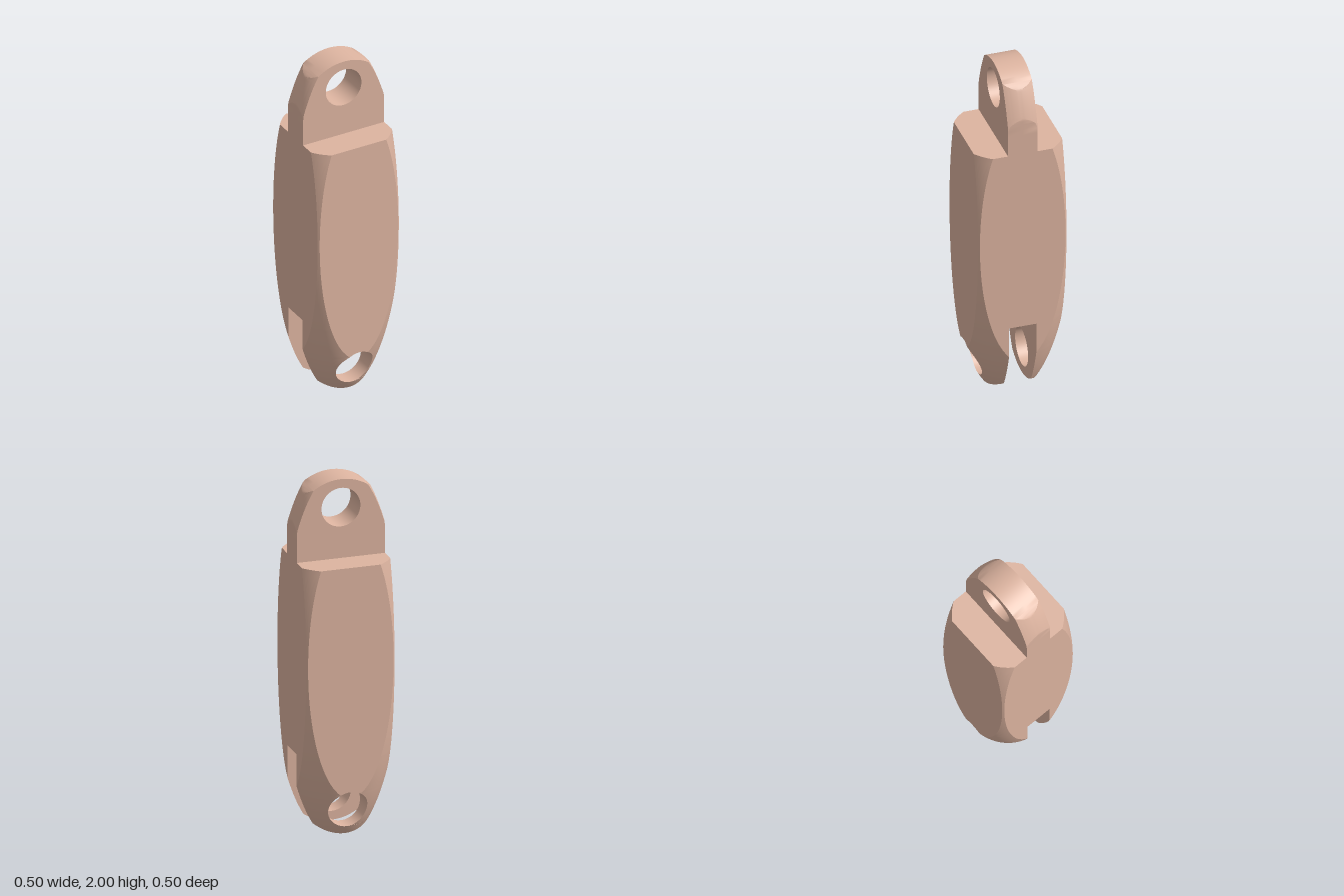
import * as THREE from 'three';
import { toCreasedNormals } from 'three/addons/utils/BufferGeometryUtils.js';

const HALF = 0.25;                 // half width of the square link
const R0 = 0.348, A = 1.1;         // ellipsoid that rounds off the square bar
const HOLE_Y = 0.16, HOLE_R = 0.11; // pin hole, measured from either end
const END_R = 0.27;                // rounding of both ends
const SLOT = 0.077, TAB = 0.083;   // half thickness of slot and tab
const SLOT_TOP = 0.455, SHOULDER = 1.55;
const FLAT = 4, ARC = 10;

const radius = (y) => R0 * Math.sqrt(1 - ((y - 1) / A) ** 2);

// One level of a quarter link (x >= 0, z >= 0): points from inner to outer edge
function section(y, zIn, zMax, hasHole) {
  const R = radius(y), u = Math.min(y, 2 - y);
  const end = u < END_R ? Math.sqrt(Math.max(0, END_R ** 2 - (END_R - u) ** 2)) : 1;
  const xb = Math.min(HALF, end, Math.sqrt(R * R - zIn * zIn));
  const h = HOLE_R ** 2 - (u - HOLE_Y) ** 2;
  const xa = hasHole && h > 1e-9 ? Math.min(xb, Math.sqrt(h)) : 0;
  const c = Math.min(xb, Math.max(xa, Math.sqrt(Math.max(0, R * R - zMax * zMax))));
  const a0 = Math.asin(c / R), a1 = Math.asin(Math.min(1, xb / R));
  const xs = [];
  for (let i = 0; i <= FLAT; i++) xs.push(xa + (c - xa) * i / FLAT);
  for (let i = 1; i <= ARC; i++) xs.push(R * Math.sin(a0 + (a1 - a0) * i / ARC));
  const front = xs.map((x) => new THREE.Vector3(x, y, Math.min(zMax, Math.sqrt(Math.max(0, R * R - x * x)))));
  const inner = xs.map((x) => new THREE.Vector3(x, y, zIn));
  return { front, inner, xa };
}

// Collects quads and mirrors them to the requested sides
function surface() {
  const quads = [];
  return {
    quad: (a, b, c, d) => quads.push([a, b, c, d]),
    build(signsZ) {
      const pos = [];
      const tri = (a, b, c) => {
        const n = b.clone().sub(a).cross(c.clone().sub(a));
        if (n.length() > 1e-10) for (const p of [a, b, c]) pos.push(p.x, p.y, p.z);
      };
      for (const sx of [1, -1]) for (const sz of signsZ) {
        const s = new THREE.Vector3(sx, 1, sz);
        for (const q of quads) {
          const m = q.map((p) => p.clone().multiply(s));
          if (sx * sz < 0) m.reverse();
          tri(m[0], m[1], m[2]);
          tri(m[0], m[2], m[3]);
        }
      }
      const g = new THREE.BufferGeometry();
      g.setAttribute('position', new THREE.Float32BufferAttribute(pos, 3));
      return toCreasedNormals(g, 0.35);
    },
  };
}

// Skins a stack of sections: front, outer side, hole wall and optional inner face
function skin(s, ys, zIn, zMax, hasHole, innerFace) {
  const rows = ys.map((y) => section(y, zIn, zMax, hasHole));
  const last = FLAT + ARC;
  for (let j = 0; j + 1 < rows.length; j++) {
    const p = rows[j], q = rows[j + 1];
    for (let i = 0; i < last; i++) {
      s.quad(p.front[i], p.front[i + 1], q.front[i + 1], q.front[i]);
      if (innerFace) s.quad(q.inner[i], q.inner[i + 1], p.inner[i + 1], p.inner[i]);
    }
    s.quad(p.front[last], p.inner[last], q.inner[last], q.front[last]);
    if (p.xa + q.xa > 0) s.quad(q.front[0], q.inner[0], p.inner[0], p.front[0]);
  }
  return rows;
}

// Levels of a drilled end, measured from its tip
function endLevels(length) {
  const ys = [];
  const lo = HOLE_Y - HOLE_R, hi = HOLE_Y + HOLE_R;
  for (let i = 0; i < 10; i++) ys.push(lo * (i / 10) ** 2);
  for (let i = 0; i <= 28; i++) ys.push(HOLE_Y - HOLE_R * Math.cos(Math.PI * i / 28));
  for (let i = 1; i <= 6; i++) ys.push(hi + (length - hi) * i / 6);
  return ys;
}

export function createModel() {
  const group = new THREE.Group();
  group.name = 'chainLink';
  const material = new THREE.MeshStandardMaterial({ color: 0xddb4a0 });
  const add = (name, geometry) => {
    const mesh = new THREE.Mesh(geometry, material);
    mesh.name = name;
    group.add(mesh);
  };

  // Square bar with rounded corners
  const body = surface();
  const ys = Array.from({ length: 33 }, (_, i) => SLOT_TOP + (SHOULDER - SLOT_TOP) * i / 32);
  const rows = skin(body, ys, 0, HALF, false, false);
  // Shoulder ledges beside the tab, and the roof of the slot
  const top = rows[rows.length - 1], bottom = rows[0];
  for (let i = 0; i < FLAT + ARC; i++) {
    const at = (row, k, z) => new THREE.Vector3(row.front[k].x, row.front[k].y, z);
    body.quad(top.front[i], top.front[i + 1], at(top, i + 1, TAB), at(top, i, TAB));
    body.quad(at(bottom, i, 0), at(bottom, i + 1, 0), at(bottom, i + 1, SLOT), at(bottom, i, SLOT));
  }
  add('body', body.build([1, -1]));

  // Two drilled fork prongs at the bottom
  const prong = surface();
  skin(prong, endLevels(SLOT_TOP), SLOT, HALF, true, true);
  add('frontProng', prong.build([1]));
  add('backProng', prong.build([-1]));

  // Drilled tab at the top
  const tab = surface();
  skin(tab, endLevels(2 - SHOULDER).map((u) => 2 - u).reverse(), 0, TAB, true, false);
  add('tab', tab.build([1, -1]));

  return group;
}
